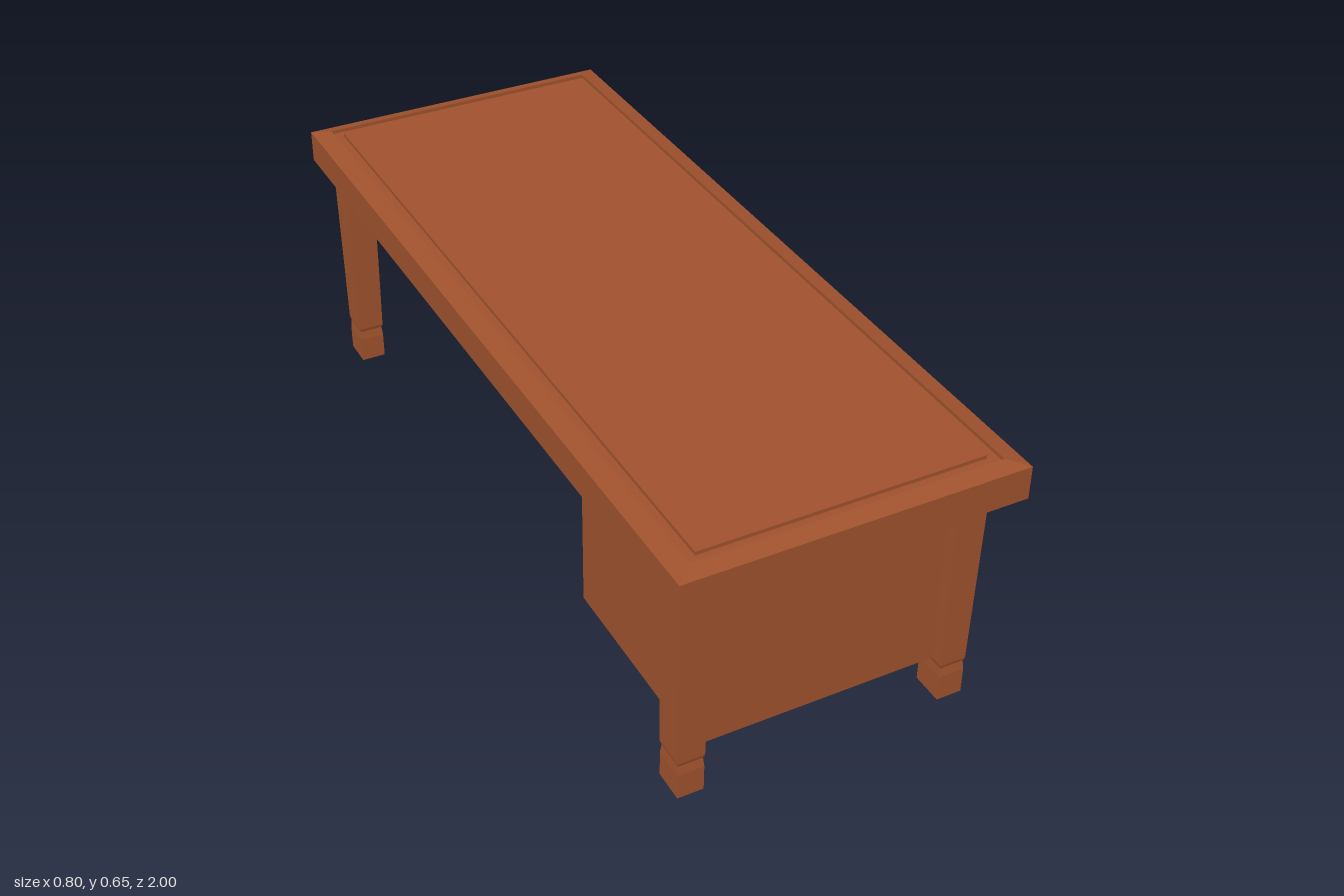
import * as THREE from 'three';

const wood = new THREE.MeshStandardMaterial({ color: 0xa0522d, flatShading: true });
const smoothWood = new THREE.MeshStandardMaterial({ color: 0xa0522d });

// Rectangular loft: each ring is [half x, half z, y]; a zero-size ring closes an end
function loft(rings) {
  const corners = [[-1, 1], [1, 1], [1, -1], [-1, -1]];
  const pos = [], index = [];
  for (const [hx, hz, y] of rings) for (const [sx, sz] of corners) pos.push(sx * hx, y, sz * hz);
  for (let i = 0; i < rings.length - 1; i++) {
    for (let k = 0; k < 4; k++) {
      const a = i * 4 + k, b = i * 4 + (k + 1) % 4;
      index.push(a, b, b + 4, a, b + 4, a + 4);
    }
  }
  const indexed = new THREE.BufferGeometry();
  indexed.setAttribute('position', new THREE.Float32BufferAttribute(pos, 3));
  indexed.setIndex(index);
  const geo = indexed.toNonIndexed();
  geo.computeVertexNormals();
  return geo;
}

// Box given by its limits on each axis
function block(x0, x1, y0, y1, z0, z1) {
  const geo = new THREE.BoxGeometry(x1 - x0, y1 - y0, z1 - z0);
  return geo.translate((x0 + x1) / 2, (y0 + y1) / 2, (z0 + z1) / 2);
}

// Outline of a fan sector pointing along +x
function sector(path, start, radius, half) {
  path.moveTo(start, 0);
  path.lineTo(start + radius * Math.cos(half), -radius * Math.sin(half));
  path.absarc(start, 0, radius, -half, half, false);
  path.lineTo(start, 0);
  return path;
}

export function createModel() {
  const desk = new THREE.Group();
  desk.name = 'desk';
  const add = (name, geo, material = wood, parent = desk) => {
    const mesh = new THREE.Mesh(geo, material);
    mesh.name = name;
    parent.add(mesh);
    return mesh;
  };

  // Top with bevelled rim and a groove around the writing surface
  add('tabletop', loft([
    [0, 0, 0.56], [0.4, 1, 0.56], [0.4, 1, 0.64], [0.357, 0.963, 0.65],
    [0.357, 0.963, 0.641], [0.333, 0.937, 0.641], [0.333, 0.937, 0.65], [0, 0, 0.65],
  ]));
  add('underPanel', block(-0.3, 0.29, 0.553, 0.561, -0.79, 0.85));

  // Tapered legs with a notched ankle and a block foot
  const legGeo = loft([
    [0, 0, 0], [0.031, 0.039, 0], [0.031, 0.039, 0.065], [0.029, 0.036, 0.088],
    [0.032, 0.039, 0.098], [0.037, 0.044, 0.56], [0, 0, 0.56],
  ]);
  const legs = [
    ['frontLeftLeg', 0.313, 0.896], ['frontRightLeg', -0.328, 0.896], ['middleLeg', 0.313, 0.396],
    ['backLeftLeg', 0.313, -0.906], ['backRightLeg', -0.328, -0.906],
  ];
  for (const [name, x, z] of legs) add(name, legGeo).position.set(x, 0, z);

  // Pedestal cabinet and its drawer front
  add('cabinet', block(-0.305, 0.315, 0.1, 0.56, 0.387, 0.905));
  const drawer = new THREE.Group();
  drawer.name = 'drawer';
  drawer.position.set(0.335, 0.425, 0.65);
  desk.add(drawer);
  add('drawerFront', block(-0.03, 0, -0.08, 0.08, -0.18, 0.18), wood, drawer);

  // Round knob on a short stem
  const stem = new THREE.CylinderGeometry(0.012, 0.012, 0.012, 16).rotateZ(Math.PI / 2);
  add('knobStem', stem, smoothWood, drawer);
  const knob = add('knob', new THREE.SphereGeometry(0.024, 20, 14), smoothWood, drawer);
  knob.scale.x = 0.55;
  knob.position.x = 0.008;

  // Pair of raised fan outlines either side of the knob
  const fan = sector(new THREE.Shape(), 0.03, 0.09, 0.6);
  fan.holes.push(sector(new THREE.Path(), 0.04, 0.073, 0.55));
  const fanGeo = new THREE.ExtrudeGeometry(fan, { depth: 0.005, bevelEnabled: false, curveSegments: 12 });
  for (const side of [0, Math.PI]) {
    const pivot = new THREE.Group();
    pivot.name = 'fanCarving';
    pivot.rotation.y = Math.PI / 2;
    drawer.add(pivot);
    add('fanOutline', fanGeo, wood, pivot).rotation.z = side;
  }
  return desk;
}
